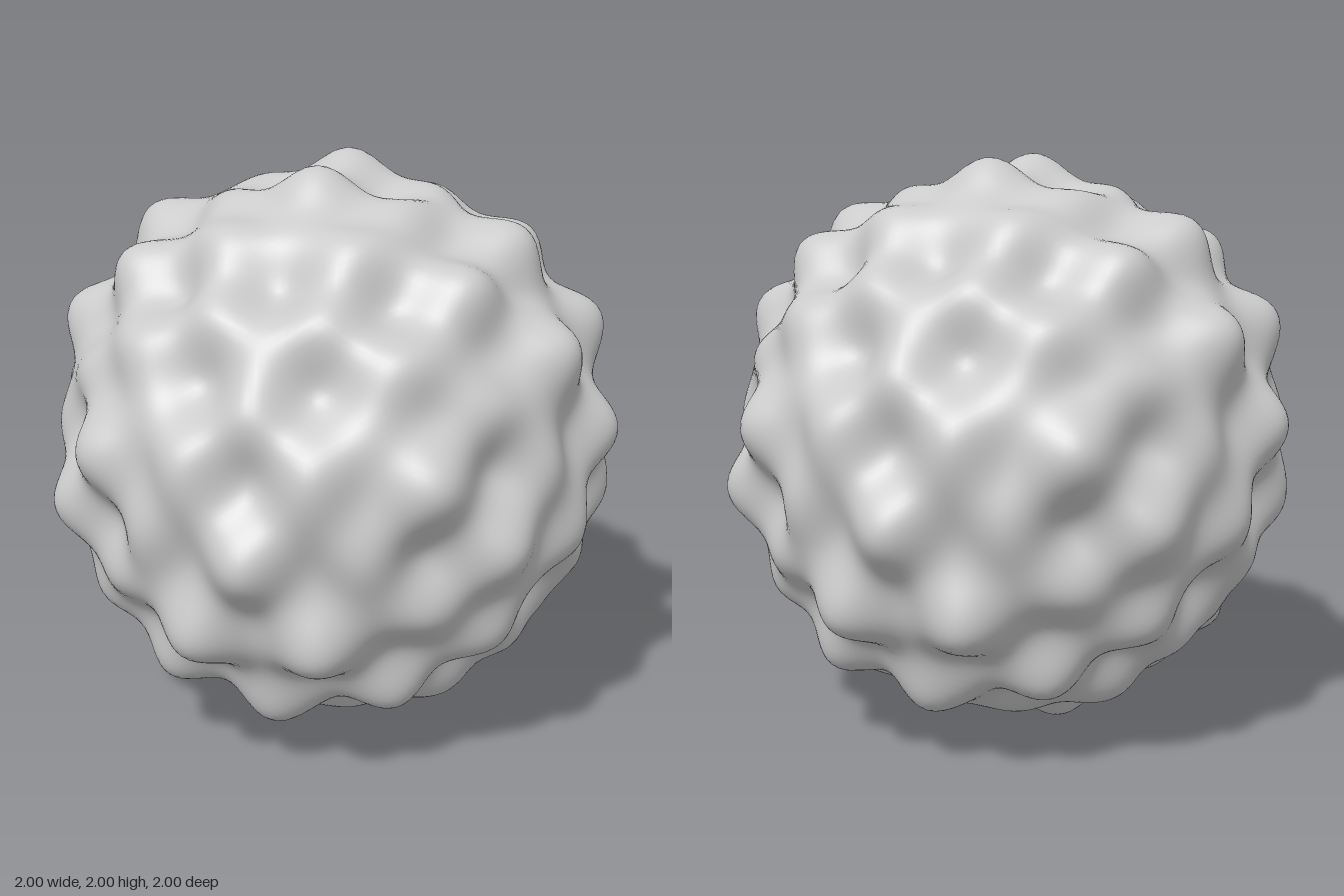
import * as THREE from 'three';
import { mergeVertices } from 'three/addons/utils/BufferGeometryUtils.js';

const RADIUS = 0.9465;   // sphere before the bumps are raised
const BUMP = 0.1;        // bump height relative to the radius
const FREQ = 10.5;       // bump frequency on the unit sphere

export function createModel() {
  const group = new THREE.Group();
  group.name = 'bumpySphere';

  // Evenly divided sphere with shared vertices for smooth shading
  let geometry = new THREE.IcosahedronGeometry(1, 44);
  geometry.deleteAttribute('uv');
  geometry.deleteAttribute('normal');
  geometry = mergeVertices(geometry, 1e-5);

  // Raise and sink the surface by a product of three sine waves
  const pos = geometry.attributes.position;
  const v = new THREE.Vector3();
  for (let i = 0; i < pos.count; i++) {
    v.fromBufferAttribute(pos, i).normalize();
    const wave = Math.sin(FREQ * v.x) * Math.sin(FREQ * v.y) * Math.sin(FREQ * v.z);
    v.multiplyScalar(RADIUS * (1 + BUMP * wave));
    pos.setXYZ(i, v.x, v.y, v.z);
  }
  geometry.computeVertexNormals();

  const ball = new THREE.Mesh(geometry, new THREE.MeshStandardMaterial({ color: 0xcccccc }));
  ball.name = 'bumpySurface';
  ball.position.y = 1;
  group.add(ball);
  return group;
}
